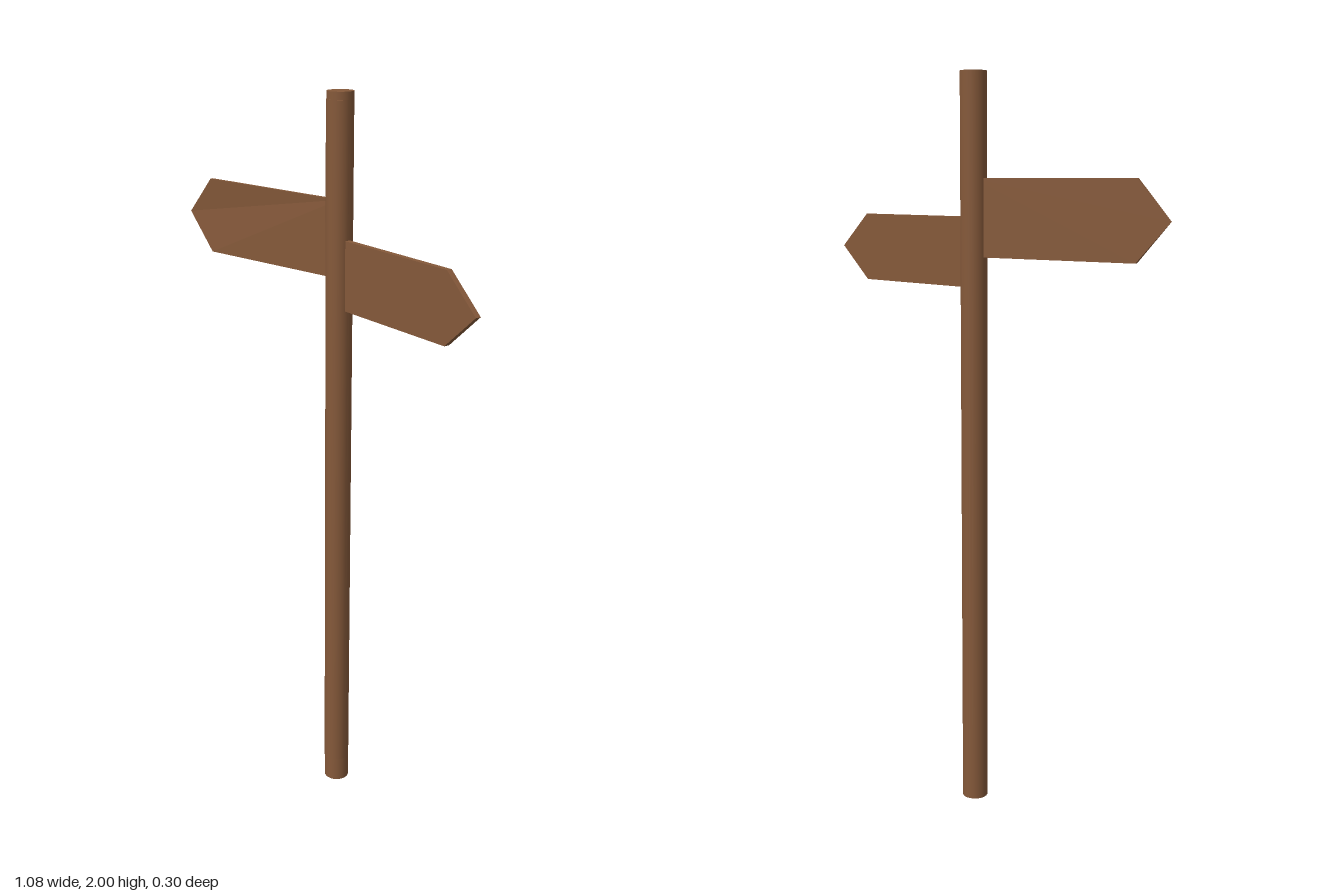
import * as THREE from 'three';

const wood = new THREE.MeshStandardMaterial({ color: 0x85593a, roughness: 0.9 });
const boardWood = new THREE.MeshStandardMaterial({ color: 0x85593a, roughness: 0.9, flatShading: true });
const POST_X = 0.032, POST_Z = -0.054;

function addCylinder(group, name, radius, y0, y1, dz) {
  const mesh = new THREE.Mesh(new THREE.CylinderGeometry(radius, radius, y1 - y0, 24), wood);
  mesh.position.set(POST_X, (y0 + y1) / 2, POST_Z + dz);
  mesh.name = name;
  group.add(mesh);
}

// Pointed board running from the post axis; dir is +1 or -1 along x.
function addBoard(group, name, { dir, shoulder, tip, y0, y1, thickness, angle, sharpTip }) {
  const h = (y1 - y0) / 2;
  const points = [[0, -h], [shoulder, -h], [tip, 0], [shoulder, h], [0, h]];
  const shape = new THREE.Shape(points.map(([x, y]) => new THREE.Vector2(x * dir, y)));
  const geometry = new THREE.ExtrudeGeometry(shape, { depth: thickness, bevelEnabled: false });
  geometry.translate(0, 0, -thickness / 2);
  // Thin the point down to the back face
  if (sharpTip) {
    const p = geometry.attributes.position;
    for (let i = 0; i < p.count; i++) {
      if (Math.abs(p.getX(i)) > tip - 0.001 && p.getZ(i) > 0) p.setZ(i, -thickness / 2 + 0.0005);
    }
    geometry.computeVertexNormals();
  }
  const mesh = new THREE.Mesh(geometry, boardWood);
  mesh.position.set(POST_X, (y0 + y1) / 2, POST_Z);
  mesh.rotation.y = angle;
  mesh.name = name;
  group.add(mesh);
}

export function createModel() {
  const group = new THREE.Group();
  group.name = 'signpost';

  // Post, with a slightly proud front face above the foot
  addCylinder(group, 'post', 0.035, 0, 2, 0);
  addCylinder(group, 'postFront', 0.0345, 0.07, 1.98, 0.003);

  // Direction boards
  addBoard(group, 'leftBoard', {
    dir: 1, shoulder: 0.433, tip: 0.54, y0: 1.445, y1: 1.63,
    thickness: 0.015, angle: -0.36, sharpTip: false,
  });
  addBoard(group, 'rightBoard', {
    dir: -1, shoulder: 0.484, tip: 0.58, y0: 1.525, y1: 1.73,
    thickness: 0.009, angle: -0.165, sharpTip: true,
  });
  return group;
}
